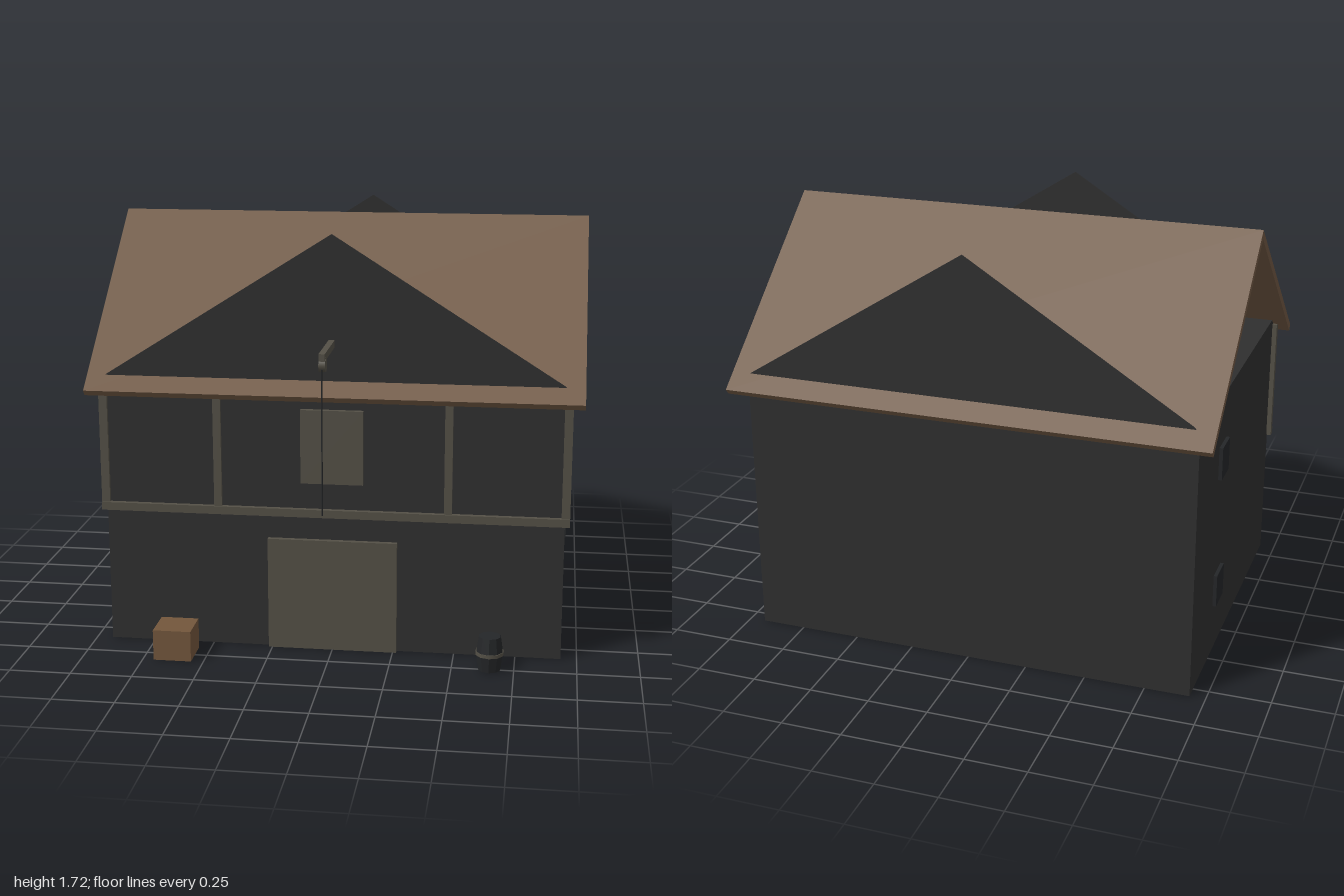
import * as THREE from 'three';

const mat = (name, color) => {
  const m = new THREE.MeshStandardMaterial({ color });
  m.name = name;
  return m;
};

export function createModel() {
  const wall = mat('charcoal wall', 0x2f2f2f);
  const roofWood = mat('brown roof', 0x705843);
  const timber = mat('grey timber', 0x545046);
  const crateWood = mat('crate wood', 0x73563c);
  const dark = mat('dark iron', 0x242628);

  const model = new THREE.Group();
  const add = (name, geometry, material) => {
    const mesh = new THREE.Mesh(geometry, material);
    mesh.name = name;
    model.add(mesh);
    return mesh;
  };
  // Box given by its minimum and maximum on each axis
  const box = (name, material, x0, x1, y0, y1, z0, z1) =>
    add(name, new THREE.BoxGeometry(x1 - x0, y1 - y0, z1 - z0), material)
      .position.set((x0 + x1) / 2, (y0 + y1) / 2, (z0 + z1) / 2);
  const polygon = (points) => new THREE.Shape(points.map(([x, y]) => new THREE.Vector2(x, y)));

  // Main block
  box('walls', wall, -0.935, 0.935, 0, 1.125, -0.807, 0.604);

  // Pitched roof: an open chevron section run along x
  const section = polygon([
    [-0.103, 1.72], [-0.88, 1.08], [-0.861, 1.057],
    [-0.103, 1.681], [0.656, 1.057], [0.675, 1.08],
  ]);
  const roof = new THREE.ExtrudeGeometry(section, { depth: 2, bevelEnabled: false });
  roof.translate(0, 0, -1).rotateY(-Math.PI / 2);
  add('roof', roof, roofWood);

  // Thin triangular gables at the front and back
  const triangle = polygon([[-0.94, 1.125], [0.94, 1.125], [0, 1.718]]);
  for (const [name, z] of [['frontGable', 0.602], ['backGable', -0.812]]) {
    const gable = new THREE.ExtrudeGeometry(triangle, { depth: 0.008, bevelEnabled: false });
    add(name, gable.translate(0, 0, z), wall);
  }

  // Timber framing on the upper front
  box('crossBeam', timber, -0.955, 0.955, 0.567, 0.6, 0.59, 0.625);
  for (const s of [-1, 1]) {
    box('cornerPost', timber, s * 0.938 - 0.017, s * 0.938 + 0.017, 0.6, 1.1, 0.588, 0.618);
    box('innerPost', timber, s * 0.469 - 0.016, s * 0.469 + 0.016, 0.6, 1.1, 0.588, 0.618);
  }

  // Doors
  box('mainDoor', timber, -0.265, 0.265, 0, 0.47, 0.6, 0.625);
  box('loftDoor', timber, -0.127, 0.127, 0.71, 1.015, 0.6, 0.624);

  // Two shutters on each side wall
  for (const s of [-1, 1]) {
    for (const y of [0.215, 0.78]) {
      const [a, b] = s > 0 ? [0.925, 0.95] : [-0.95, -0.925];
      box('sideShutter', dark, a, b, y, y + 0.138, -0.446, -0.321);
    }
  }

  // Hoist: beam, pulley and hanging rope
  box('hoistBeam', timber, -0.012, 0.012, 1.271, 1.3, 0.51, 0.885);
  const pulley = new THREE.CylinderGeometry(0.029, 0.029, 0.026, 12).rotateZ(Math.PI / 2);
  add('pulley', pulley.translate(0, 1.254, 0.855), timber);
  const rope = new THREE.CylinderGeometry(0.003, 0.003, 0.58, 6);
  add('rope', rope.translate(0, 0.95, 0.884), dark);

  // Crate
  box('crate', crateWood, -0.705, -0.55, 0, 0.127, 0.67, 0.822);

  // Barrel with a middle hoop
  const barrelMat = dark.clone();
  barrelMat.name = 'barrel staves';
  barrelMat.flatShading = true;
  const profile = [[0, 0], [0.045, 0], [0.056, 0.07], [0.045, 0.142], [0, 0.142]]
    .map(([r, y]) => new THREE.Vector2(r, y));
  add('barrel', new THREE.LatheGeometry(profile, 10), barrelMat).position.set(0.652, 0, 0.742);
  const hoop = new THREE.CylinderGeometry(0.058, 0.058, 0.014, 10);
  add('barrelHoop', hoop, timber).position.set(0.652, 0.072, 0.742);

  return model;
}
